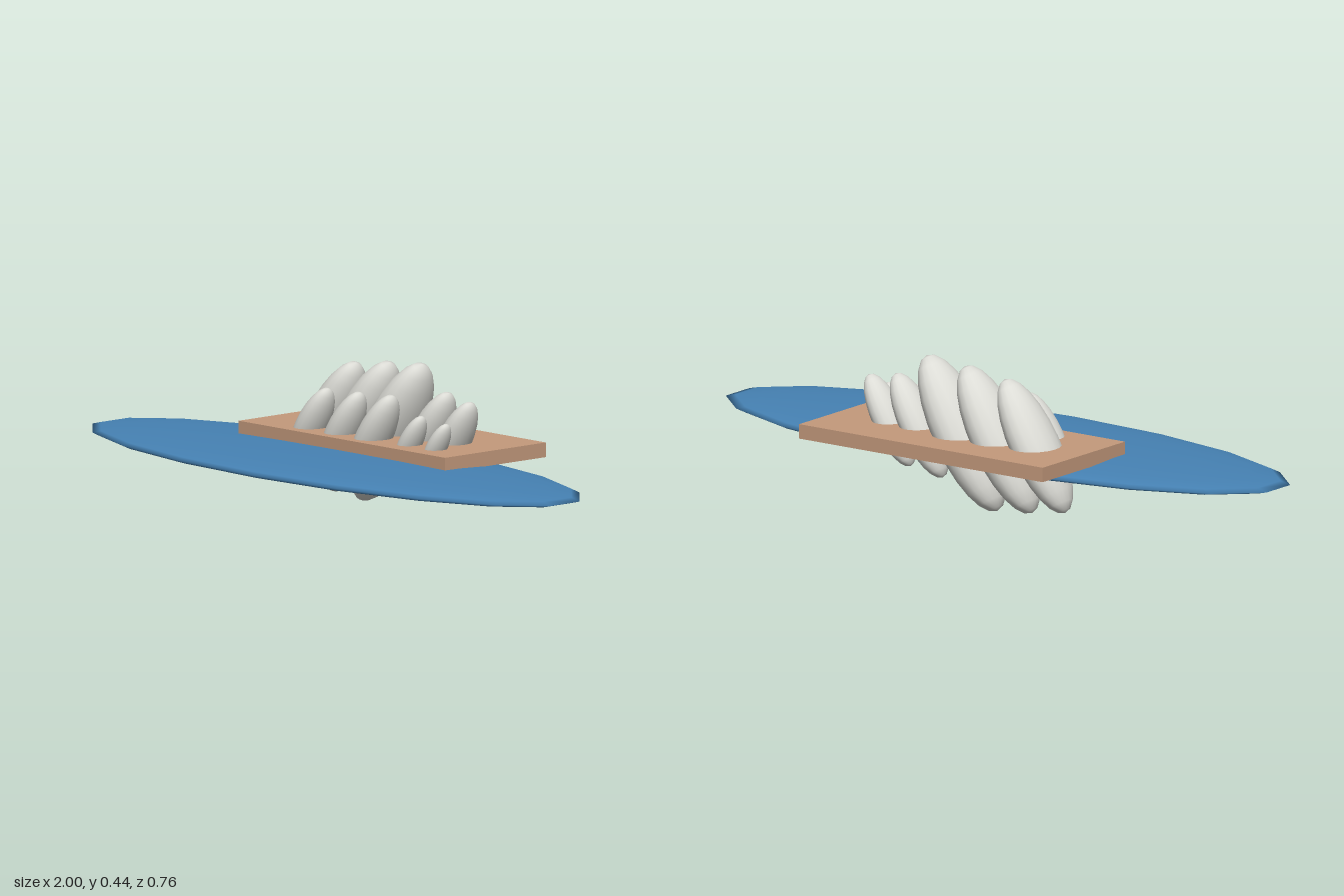
import * as THREE from 'three';

export function createModel() {
  const model = new THREE.Group();
  const blue = new THREE.MeshStandardMaterial({ name: 'blue', color: 0x4682b4 });
  const wood = new THREE.MeshStandardMaterial({ name: 'lightWood', color: 0xc49a7c });
  const pale = new THREE.MeshStandardMaterial({ name: 'paleGrey', color: 0xdcdcd6 });

  // Flat oval dish, turned half a facet so its long ends are blunt
  const dish = new THREE.Mesh(new THREE.SphereGeometry(1, 18, 12, Math.PI / 2), blue);
  dish.name = 'dish';
  dish.scale.set(1.015, 0.033, 0.336);
  dish.position.set(0, 0.155, 0.046);
  model.add(dish);

  // Rectangular board overhanging the back of the dish
  const board = new THREE.Mesh(new THREE.BoxGeometry(0.9, 0.044, 0.405), wood);
  board.name = 'board';
  board.position.set(0, 0.2, -0.18);
  model.add(board);

  // Two rows of leaning ovals piercing the board: [x, half length]
  const ovalGeometry = new THREE.SphereGeometry(1, 18, 12);
  const addRow = (name, z, ovals) => {
    const row = new THREE.Group();
    row.name = name;
    for (const [x, length] of ovals) {
      const oval = new THREE.Mesh(ovalGeometry, pale);
      oval.name = 'oval';
      oval.scale.set(0.3 * length, length, 0.4 * length);
      oval.rotation.z = -0.54;
      oval.position.set(x, 0.222, z);
      row.add(oval);
    }
    model.add(row);
  };
  addRow('backRow', -0.18, [[-0.27, 0.218], [-0.135, 0.24], [0, 0.254], [0.158, 0.17], [0.267, 0.15]]);
  addRow('frontRow', -0.066, [[-0.229, 0.143], [-0.093, 0.149], [0.043, 0.158], [0.201, 0.104], [0.315, 0.092]]);

  return model;
}
